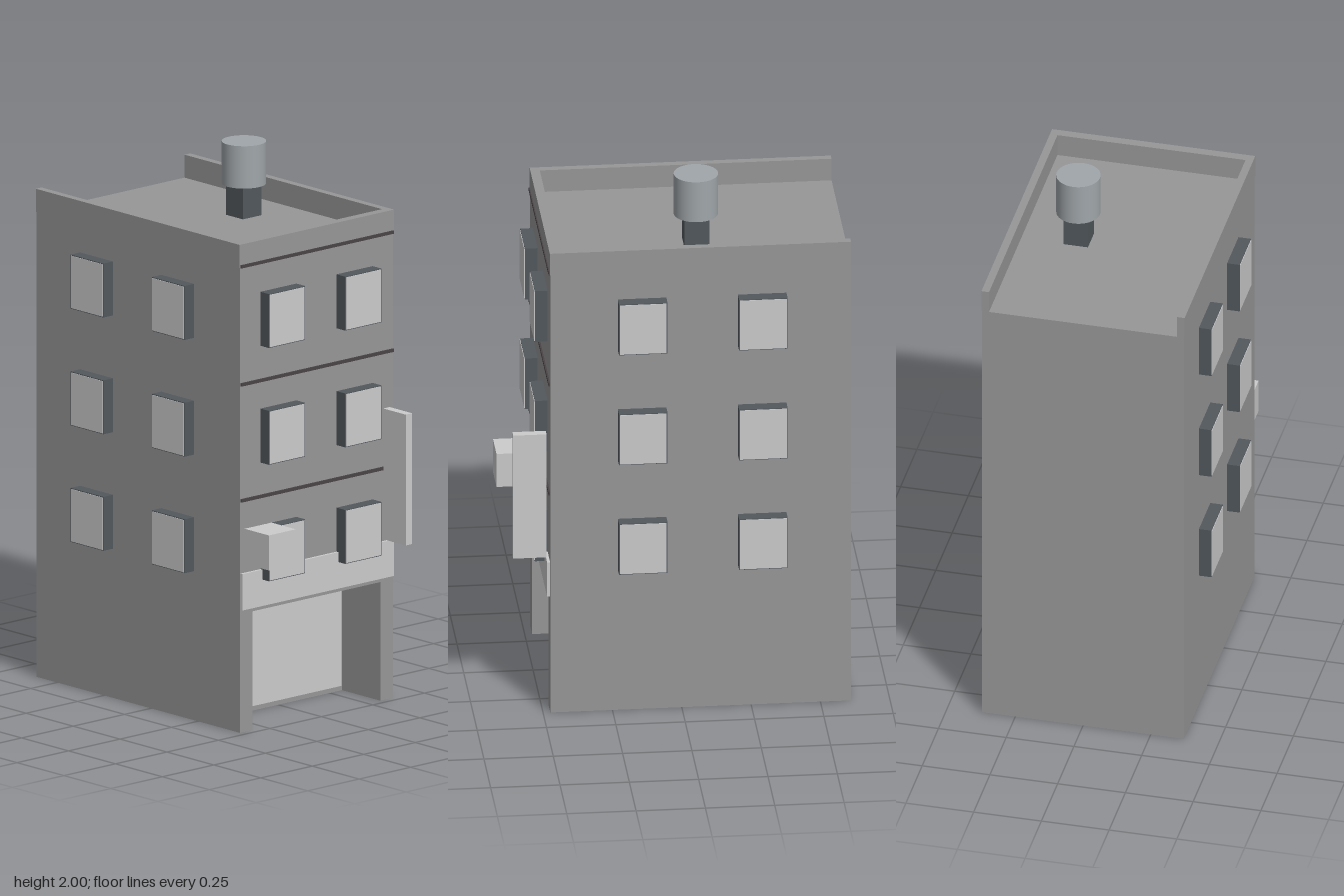
import * as THREE from 'three';

const material = (color) => new THREE.MeshStandardMaterial({ color, flatShading: true });

export function createModel() {
  const model = new THREE.Group();
  const wall = material(0x979797);
  const light = material(0xcccccc);
  const dark = material(0x52585d);
  const ledge = material(0x4a4446);
  const metal = new THREE.MeshStandardMaterial({ color: 0xa0a6aa });

  // Box given by its limits on each axis
  function box(name, mat, [x0, x1], [y0, y1], [z0, z1], parent = model) {
    const mesh = new THREE.Mesh(new THREE.BoxGeometry(x1 - x0, y1 - y0, z1 - z0), mat);
    mesh.position.set((x0 + x1) / 2, (y0 + y1) / 2, (z0 + z1) / 2);
    mesh.name = name;
    parent.add(mesh);
    return mesh;
  }

  const W = 0.372, FRONT = 0.474, BACK = -0.61, ROOF = 1.725, TOP = 1.81;

  // Ground floor: U-shaped plan around the entrance recess
  const plan = new THREE.Shape([
    [-W, -BACK], [-W, -FRONT], [-0.31, -FRONT], [-0.31, -0.27],
    [0.31, -0.27], [0.31, -FRONT], [W, -FRONT], [W, -BACK],
  ].map(([x, y]) => new THREE.Vector2(x, y)));
  const ground = new THREE.Mesh(
    new THREE.ExtrudeGeometry(plan, { depth: 0.44, bevelEnabled: false }), wall);
  ground.rotation.x = -Math.PI / 2;
  ground.name = 'groundFloor';
  model.add(ground);
  box('shopPanel', light, [-0.297, 0.297], [0.02, 0.42], [0.265, 0.28]);

  // Upper floors and roof parapet, open at the back
  box('upperFloors', wall, [-W, W], [0.44, ROOF], [BACK, FRONT]);
  box('frontParapet', wall, [-0.375, 0.375], [ROOF, TOP], [0.442, 0.476]);
  for (const s of [-1, 1]) {
    const p = box('sideParapet', wall, [-0.014, 0.014], [ROOF, TOP], [BACK, 0.442]);
    p.position.x = s * 0.361;
  }

  // Thin ledges between floors
  for (const y of [0.86, 1.29, 1.728])
    box('ledge', ledge, [-0.37, 0.37], [y - 0.006, y + 0.006], [0.47, 0.48]);

  // Projecting windows: dark casing with a light pane, facing local +z
  function addWindow(x, y, z, turn) {
    const win = new THREE.Group();
    win.name = 'window';
    box('casing', dark, [-0.0875, 0.0875], [-0.1, 0.1], [-0.01, 0.046], win);
    box('pane', light, [-0.084, 0.084], [-0.097, 0.097], [0.04, 0.048], win);
    win.position.set(x, y, z);
    win.rotation.y = turn;
    model.add(win);
  }
  for (const y of [0.653, 1.085, 1.518]) {
    for (const s of [-1, 1]) {
      addWindow(s * 0.185, y, FRONT, 0);
      for (const z of [0.143, -0.29]) addWindow(s * W, y, z, s * Math.PI / 2);
    }
  }

  // Shop signs on the front
  box('signBand', light, [-0.37, 0.367], [0.455, 0.59], [0.47, 0.485]);
  box('cubeSign', light, [-0.355, -0.224], [0.625, 0.755], [0.48, 0.61]);
  box('bladeSign', light, [0.314, 0.345], [0.6, 1.085], [0.485, 0.605]);

  // Roof tank on a square stem
  box('tankStem', dark, [0.1, 0.19], [ROOF, 1.845], [-0.118, -0.028]);
  const tank = new THREE.Mesh(new THREE.CylinderGeometry(0.08, 0.08, 0.157, 32), metal);
  tank.position.set(0.146, 1.9215, -0.073);
  tank.name = 'roofTank';
  model.add(tank);

  return model;
}
